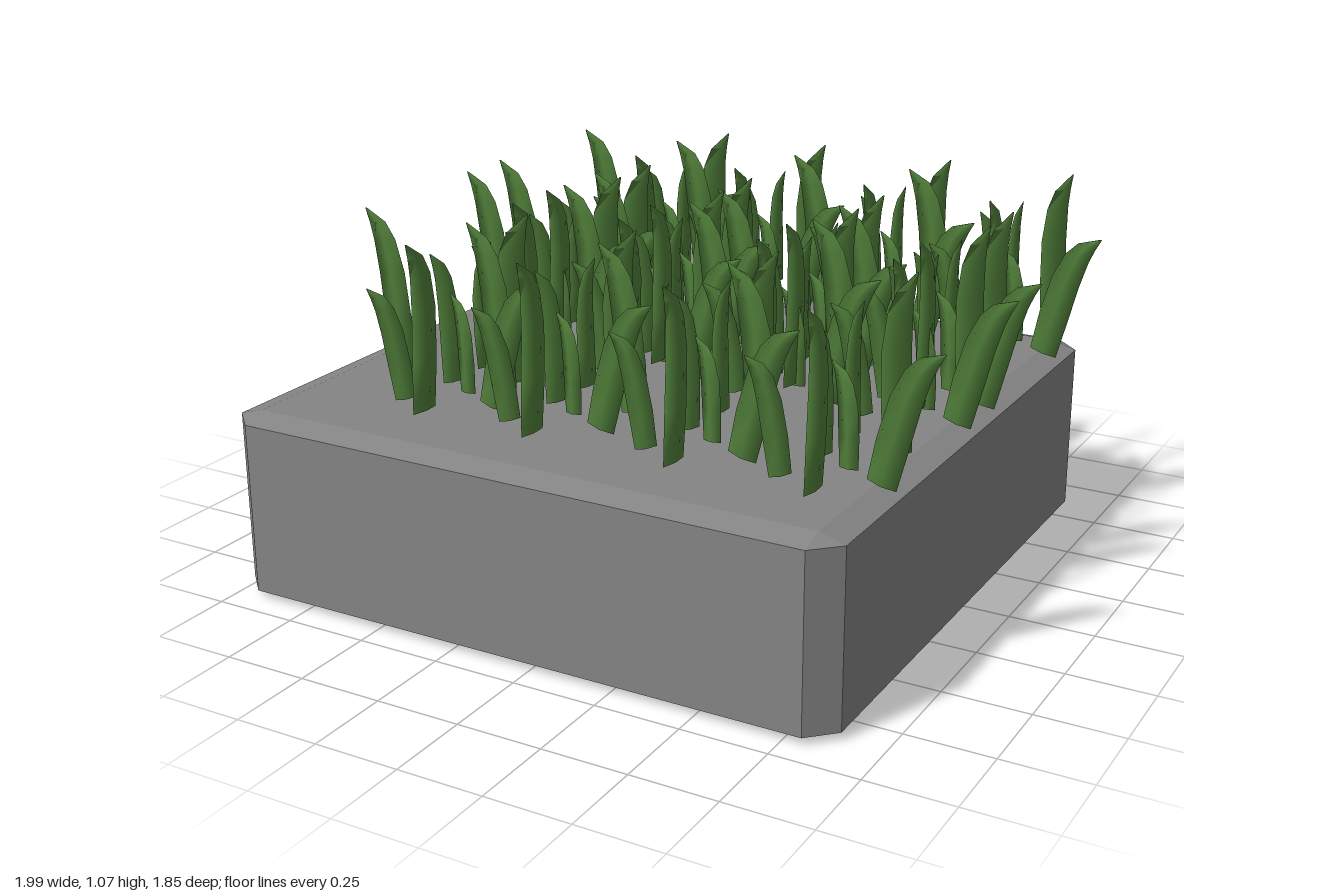
import * as THREE from 'three';
import { ConvexGeometry } from 'three/addons/geometries/ConvexGeometry.js';

const stone = new THREE.MeshStandardMaterial({ color: 0x848484 });
stone.name = 'stone grey';
const grass = new THREE.MeshStandardMaterial({ color: 0x4f7d39 });
grass.name = 'grass green';

// Box with a chamfer of cx, cy, cz along every edge
function chamferedBox(hx, hy, hz, cx, cy, cz) {
  const points = [];
  for (const sx of [-1, 1]) for (const sy of [-1, 1]) for (const sz of [-1, 1]) {
    points.push(
      new THREE.Vector3(sx * hx, sy * (hy - cy), sz * (hz - cz)),
      new THREE.Vector3(sx * (hx - cx), sy * hy, sz * (hz - cz)),
      new THREE.Vector3(sx * (hx - cx), sy * (hy - cy), sz * hz));
  }
  return new ConvexGeometry(points);
}

// Cross-sections of a blade: height, front edge, back edge, thickness (all relative)
const SECTIONS = [
  [0, 0.5, -0.5, 0.8], [0.3, 0.43, -0.66, 1], [0.6, 0.35, -0.7, 1],
  [0.8, 0.35, -0.54, 0.85], [0.91, 0.41, -0.25, 0.6], [1, 0.5, 0.44, 0.1],
];

// Curved blade with a diamond section, its tip hooking towards +x
function bladeGeometry(width, height, thick) {
  const pos = [], index = [];
  const ring = ([t, front, back, k]) => {
    const y = t * height, mid = (front + back) / 2 * width, d = k * thick / 2;
    pos.push(front * width, y, 0, mid, y, d, back * width, y, 0, mid, y, -d);
  };
  SECTIONS.forEach(ring);
  for (let i = 0; i < SECTIONS.length - 1; i++) for (let j = 0; j < 4; j++) {
    const a = i * 4 + j, b = i * 4 + (j + 1) % 4;
    index.push(a, a + 4, b, b, a + 4, b + 4);
  }
  // End caps
  const c = SECTIONS.length * 4;
  ring(SECTIONS[0]);
  ring(SECTIONS[SECTIONS.length - 1]);
  index.push(c, c + 1, c + 2, c, c + 2, c + 3, c + 4, c + 6, c + 5, c + 4, c + 7, c + 6);
  const geo = new THREE.BufferGeometry();
  geo.setAttribute('position', new THREE.Float32BufferAttribute(pos, 3));
  geo.setIndex(index);
  geo.computeVertexNormals();
  return geo;
}

// Blades of one tuft: base position, direction of the tip, width, height, lean, thickness
const BLADES = [
  { at: [-0.742, 0.58, -0.76], dir: [-1, 0], w: 0.086, h: 0.48, lean: 0.145, d: 0.016 },
  { at: [-0.538, 0.58, -0.885], dir: [0.15, -1], w: 0.07, h: 0.37, lean: 0.01, d: 0.015 },
  { at: [-0.38, 0.58, -0.82], dir: [10, -15], w: 0.088, h: 0.49, lean: 0, d: 0.018 },
  { at: [-0.562, 0.57, -0.75], dir: [-9, 12], w: 0.055, h: 0.39, lean: 0.065, d: 0.018 },
  { at: [-0.452, 0.58, -0.672], dir: [-12, -3.5], w: 0.065, h: 0.285, lean: 0.12, d: 0.019 },
  { at: [-0.345, 0.568, -0.637], dir: [15, -1.7], w: 0.082, h: 0.395, lean: 0.295, d: 0.028 },
  { at: [-0.602, 0.565, -0.58], dir: [-9, 4.7], w: 0.06, h: 0.335, lean: 0.2, d: 0.027 },
  { at: [-0.457, 0.59, -0.472], dir: [-0.1, 1], w: 0.09, h: 0.48, lean: 0, d: 0.017 },
];

export function createModel() {
  const model = new THREE.Group();
  model.name = 'grassTile';

  // Base slab
  const slab = new THREE.Mesh(chamferedBox(0.94, 0.275, 0.911, 0.075, 0.022, 0.073), stone);
  slab.name = 'slab';
  slab.position.set(-0.06, 0.275, 0.016);
  model.add(slab);

  // One tuft of blades
  const tuft = new THREE.Group();
  tuft.name = 'grassTuft';
  for (const { at, dir, w, h, lean, d } of BLADES) {
    const blade = new THREE.Mesh(bladeGeometry(w, h, d), grass);
    blade.name = 'grassBlade';
    blade.position.set(...at);
    blade.rotation.set(0, Math.atan2(-dir[1], dir[0]), -lean);
    tuft.add(blade);
  }

  // Tufts repeated in uneven rows and columns
  for (const x of [0, 0.353, 0.786, 1.183]) for (const z of [0, 0.513, 0.69, 1.195]) {
    const copy = tuft.clone();
    copy.position.set(x, 0, z);
    model.add(copy);
  }
  return model;
}
